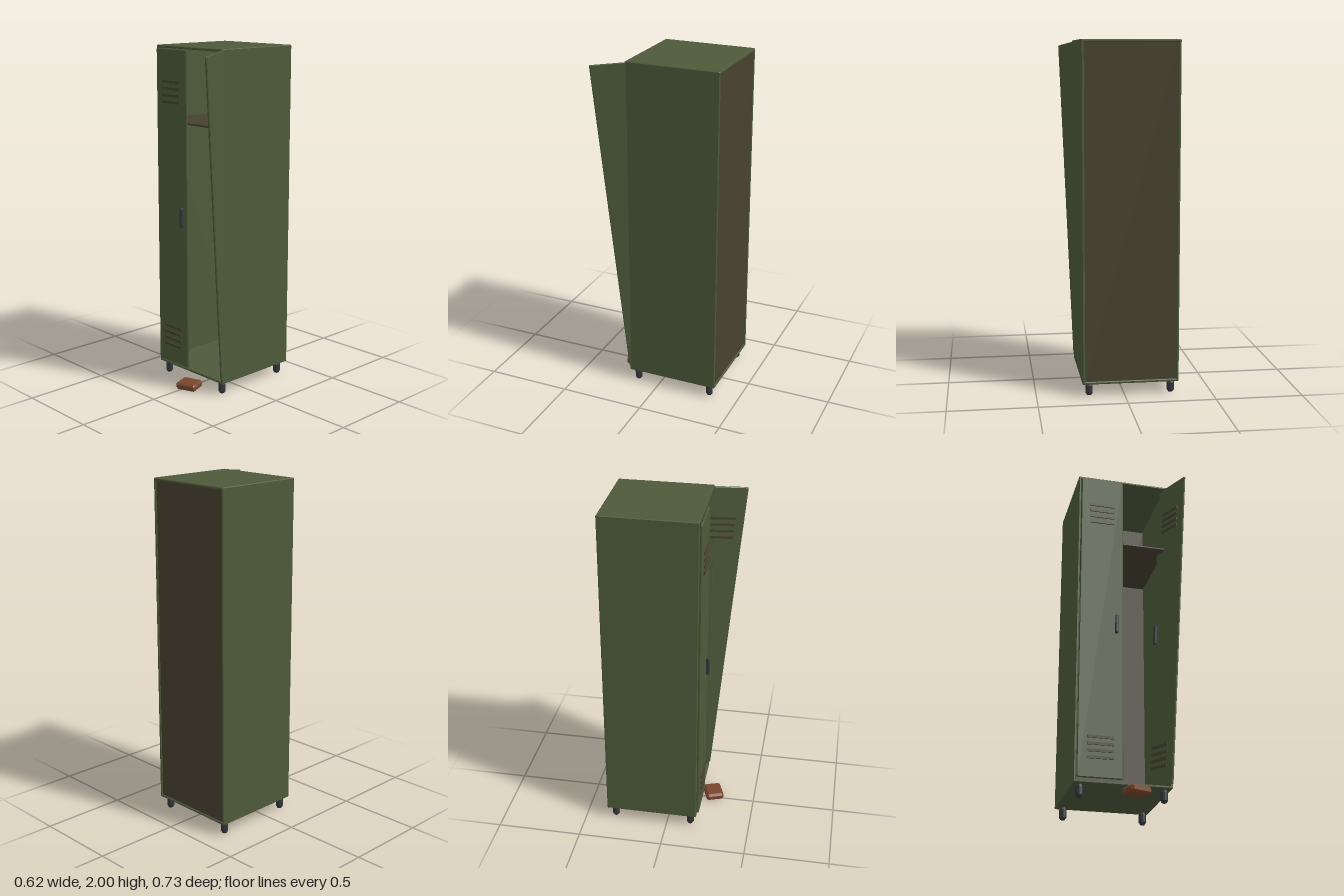
import * as THREE from 'three';
import { ConvexGeometry } from 'three/addons/geometries/ConvexGeometry.js';

const paint = (name, color) => Object.assign(new THREE.MeshStandardMaterial({ color }), { name });

// Box with every edge cut by a flat chamfer of width c
function chamferBox(w, h, d, c) {
  const points = [];
  for (const x of [-1, 1]) for (const y of [-1, 1]) for (const z of [-1, 1]) {
    for (let axis = 0; axis < 3; axis++) {
      const inset = [c, c, c];
      inset[axis] = 0;
      points.push(new THREE.Vector3(
        x * (w / 2 - inset[0]), y * (h / 2 - inset[1]), z * (d / 2 - inset[2])));
    }
  }
  return new ConvexGeometry(points);
}

export function createModel() {
  const olive = paint('olive paint', 0x4d5a39);
  const brown = paint('dark brown panel', 0x47422f);
  const steel = paint('dark steel', 0x34363c);
  const clay = paint('brick clay', 0x79462d);

  const model = new THREE.Group();
  model.name = 'locker';

  function add(parent, name, geometry, material, x, y, z) {
    const mesh = new THREE.Mesh(geometry, material);
    mesh.name = name;
    mesh.position.set(x, y, z);
    parent.add(mesh);
    return mesh;
  }

  // Cabinet shell: an open-fronted box of sheet panels
  const X0 = -0.31, X1 = 0.241, Y0 = 0.072, Y1 = 2, Z0 = -0.368, Z1 = 0.182, T = 0.015;
  const W = X1 - X0, H = Y1 - Y0, D = Z1 - Z0;
  const cx = (X0 + X1) / 2, cy = (Y0 + Y1) / 2, cz = (Z0 + Z1) / 2;
  const side = chamferBox(T, H, D, 0.004);
  const cap = chamferBox(W, T, D, 0.004);
  add(model, 'rightSide', side, olive, X0 + T / 2, cy, cz);
  add(model, 'leftSide', side, olive, X1 - T / 2, cy, cz);
  add(model, 'roof', cap, olive, cx, Y1 - T / 2, cz);
  add(model, 'floor', cap, olive, cx, Y0 + T / 2, cz);
  add(model, 'backPanel', new THREE.BoxGeometry(W - 2 * T, H - 2 * T, 0.01), brown, cx, cy, Z0 + 0.012);
  add(model, 'shelf', chamferBox(W - 2 * T, 0.012, D - 0.03, 0.003), brown, cx, 1.565, cz + 0.005);

  // Door with two sets of vent slats and a handle on the given side
  const doorGeometry = chamferBox(0.255, 1.885, 0.014, 0.004);
  const slatGeometry = new THREE.BoxGeometry(0.147, 0.015, 0.009);
  const handleGeometry = chamferBox(0.016, 0.115, 0.022, 0.004);
  function door(name, handleSide) {
    const group = new THREE.Group();
    group.name = name;
    add(group, 'doorPanel', doorGeometry, olive, 0, 0, 0);
    for (const bottom of [0.64, -0.83]) {
      for (let i = 0; i < 4; i++) {
        add(group, 'ventSlat', slatGeometry, brown, 0, bottom + i * 0.039, 0.0085);
      }
    }
    add(group, 'handle', handleGeometry, steel, handleSide * 0.088, -0.025, 0.014);
    model.add(group);
    return group;
  }
  door('closedDoor', 1).position.set(-0.167, 1.04, 0.19);

  // Second door has come loose: swung inwards and leaning
  const loose = door('looseDoor', -1);
  loose.position.set(0.227, 1.048, 0.157);
  loose.rotation.set(0, -1.222, -0.1);

  // Stubby faceted feet
  const profile = [[0, 0], [0.013, 0], [0.021, 0.012], [0.021, 0.058], [0.015, 0.068], [0.015, 0.075], [0, 0.075]]
    .map(([r, y]) => new THREE.Vector2(r, y));
  const footGeometry = new THREE.LatheGeometry(profile, 10).toNonIndexed();
  footGeometry.computeVertexNormals();
  for (const x of [-0.27, 0.2]) for (const z of [-0.322, 0.143]) {
    add(model, 'foot', footGeometry, steel, x, 0, z);
  }

  // Brick lying in front
  add(model, 'brick', chamferBox(0.129, 0.044, 0.108, 0.012), clay, 0.022, 0.026, 0.243).rotation.y = 0.35;

  return model;
}
